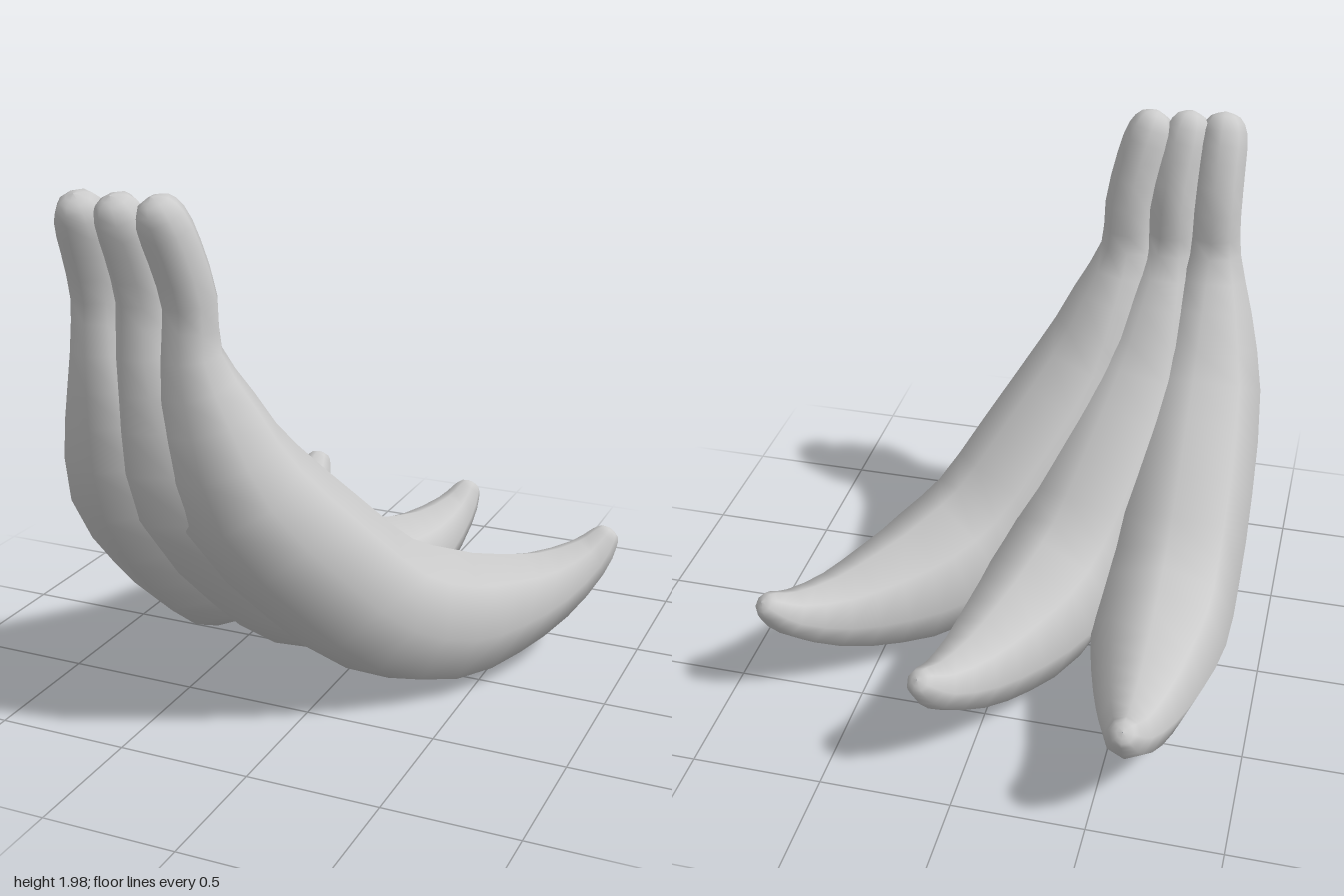
import * as THREE from 'three';

// Cross-sections from stem to tip: z, y, radius
const SECTIONS = [
  [0.935, 1.985, 0.002], [0.927, 1.968, 0.058], [0.905, 1.915, 0.09],
  [0.86, 1.8, 0.098], [0.812, 1.62, 0.1], [0.813, 1.44, 0.112],
  [0.755, 1.22, 0.178], [0.64, 0.93, 0.25], [0.36, 0.61, 0.275],
  [0.09, 0.37, 0.275], [-0.18, 0.268, 0.265], [-0.44, 0.258, 0.212],
  [-0.67, 0.29, 0.15], [-0.86, 0.37, 0.092], [-0.94, 0.44, 0.06],
  [-0.962, 0.465, 0.04], [-0.97, 0.474, 0.002],
];
const SIDES = 8;
const PIVOT_Z = 0.88;

// Eight-sided tapered tube swept along a curve in the plane x = 0
function bananaGeometry() {
  const curve = new THREE.CatmullRomCurve3(SECTIONS.map((s) => new THREE.Vector3(...s)));
  const rings = (SECTIONS.length - 1) * 2;
  const positions = [];
  const index = [];
  for (let i = 0; i <= rings; i++) {
    const c = curve.getPoint(i / rings);
    const t = curve.getTangent(i / rings);
    const len = Math.hypot(t.x, t.y);
    const nz = t.y / len, ny = -t.x / len;
    const r = Math.max(c.z, 0.002);
    for (let j = 0; j < SIDES; j++) {
      const a = (j / SIDES) * Math.PI * 2;
      const n = r * Math.cos(a);
      positions.push(r * Math.sin(a), c.y + n * ny, c.x + n * nz - PIVOT_Z);
      if (i < rings) {
        const p = i * SIDES + j, q = i * SIDES + ((j + 1) % SIDES);
        index.push(p, q, p + SIDES, q, q + SIDES, p + SIDES);
      }
    }
  }
  const geometry = new THREE.BufferGeometry();
  geometry.setAttribute('position', new THREE.Float32BufferAttribute(positions, 3));
  geometry.setIndex(index);
  geometry.computeVertexNormals();
  return geometry;
}

export function createModel() {
  const group = new THREE.Group();
  group.name = 'bananaBunch';
  const peel = new THREE.MeshStandardMaterial({ color: 0xcccccc });
  peel.name = 'peelGrey';
  const geometry = bananaGeometry();

  // Three fruits fanned out around their stems: name, x, z, turn in degrees
  const fruits = [
    ['rightBanana', -0.615, 0.88, 0],
    ['middleBanana', -0.47, 0.865, -19.5],
    ['leftBanana', -0.32, 0.845, -39],
  ];
  for (const [name, x, z, turn] of fruits) {
    const banana = new THREE.Mesh(geometry, peel);
    banana.name = name;
    banana.position.set(x, 0, z);
    banana.rotation.y = THREE.MathUtils.degToRad(turn);
    group.add(banana);
  }
  return group;
}
